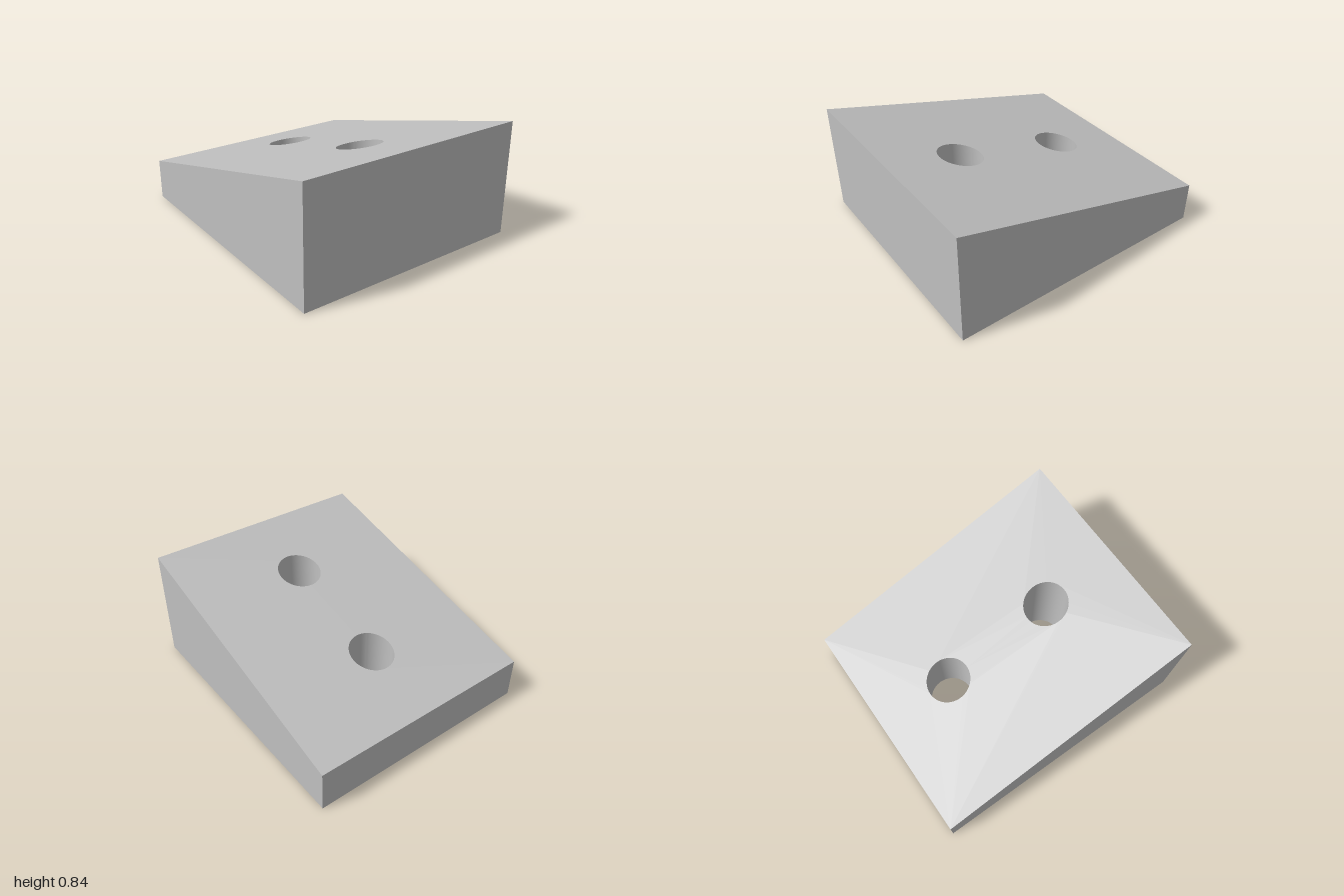
import * as THREE from 'three';
import { toCreasedNormals } from 'three/addons/utils/BufferGeometryUtils.js';

const HALF_DEPTH = 0.857;
const LOW = 0.305, HIGH = 0.84; // heights at the -x and +x ends
const HOLE_X = 0.428, HOLE_RADIUS = 0.16;

export function createModel() {
  const grey = new THREE.MeshStandardMaterial({ color: 0xc0c0c0 });
  grey.name = 'grey';

  // Footprint with two round through holes
  const footprint = new THREE.Shape();
  footprint.moveTo(-1, -HALF_DEPTH);
  footprint.lineTo(1, -HALF_DEPTH);
  footprint.lineTo(1, HALF_DEPTH);
  footprint.lineTo(-1, HALF_DEPTH);
  footprint.closePath();
  for (const side of [-1, 1]) {
    const hole = new THREE.Path();
    hole.absarc(side * HOLE_X, 0, HOLE_RADIUS, 0, Math.PI * 2, true);
    footprint.holes.push(hole);
  }

  // Extrude to unit height, then scale each vertex to the sloping top
  const geometry = new THREE.ExtrudeGeometry(footprint, { depth: 1, bevelEnabled: false, curveSegments: 48 });
  geometry.rotateX(-Math.PI / 2);
  const position = geometry.attributes.position;
  for (let i = 0; i < position.count; i++) {
    const top = THREE.MathUtils.lerp(LOW, HIGH, (position.getX(i) + 1) / 2);
    position.setY(i, position.getY(i) * top);
  }

  // Smooth hole walls, sharp outer edges
  const wedge = new THREE.Mesh(toCreasedNormals(geometry, Math.PI / 6), grey);
  wedge.name = 'wedgeBlock';

  const group = new THREE.Group();
  group.name = 'drilledWedge';
  group.add(wedge);
  return group;
}
